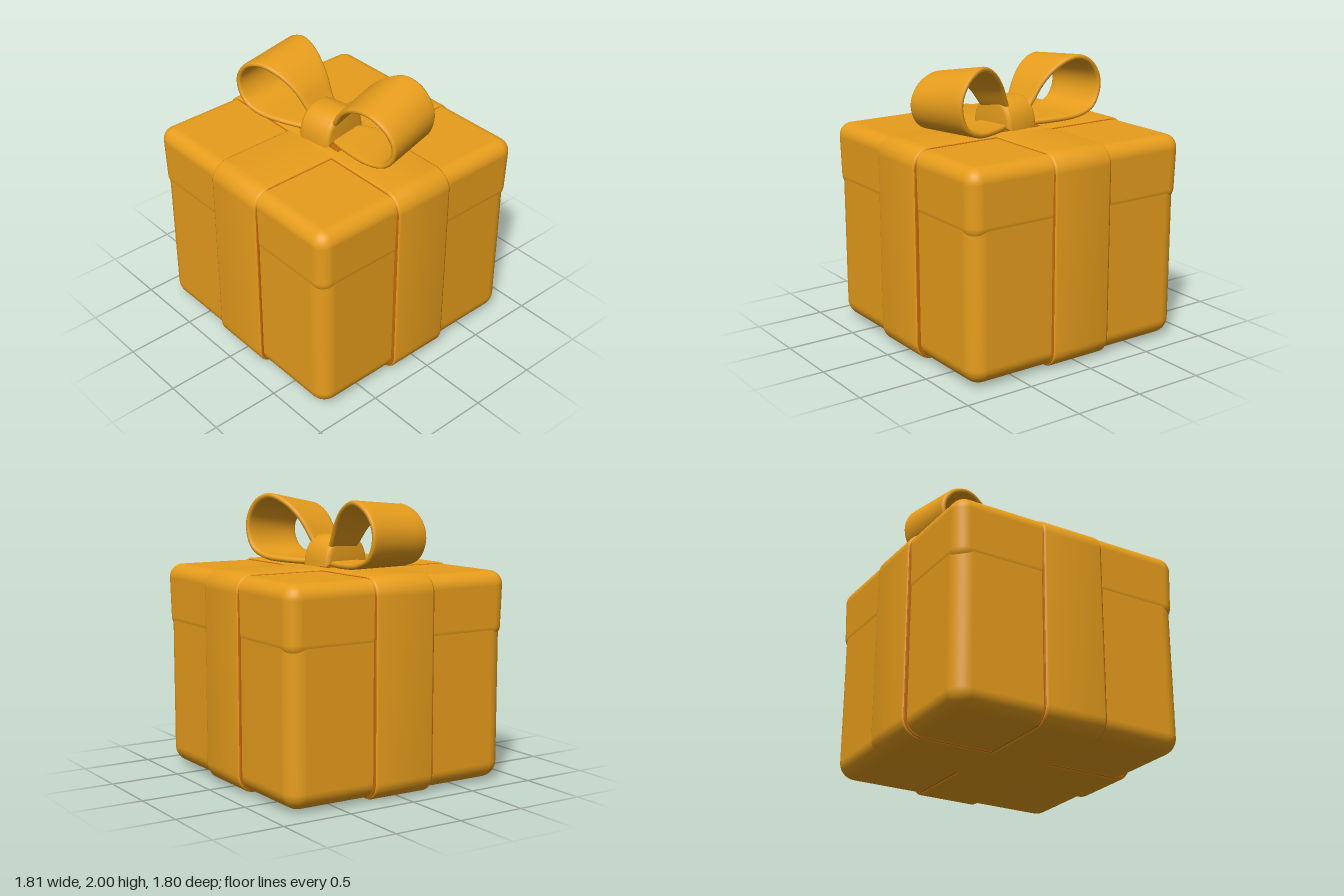
import * as THREE from 'three';
import { toCreasedNormals } from 'three/addons/utils/BufferGeometryUtils.js';
import { RoundedBoxGeometry } from 'three/addons/geometries/RoundedBoxGeometry.js';

function colour(name, hex) {
  const material = new THREE.MeshStandardMaterial({ color: hex });
  material.name = name;
  return material;
}
const amber = colour('amber', 0xe89e1c);
const deepOrange = colour('deepOrange', 0xc4690e);

function part(name, geometry, material, parent) {
  const mesh = new THREE.Mesh(geometry, material);
  mesh.name = name;
  parent.add(mesh);
  return mesh;
}

// Rounded rectangle outline centred on the origin
function roundedRect(Path, hw, hh, r) {
  const p = new Path();
  p.moveTo(hw, -hh + r);
  p.lineTo(hw, hh - r);
  p.absarc(hw - r, hh - r, r, 0, Math.PI / 2);
  p.lineTo(-hw + r, hh);
  p.absarc(-hw + r, hh - r, r, Math.PI / 2, Math.PI);
  p.lineTo(-hw, -hh + r);
  p.absarc(-hw + r, -hh + r, r, Math.PI, Math.PI * 1.5);
  p.lineTo(hw - r, -hh);
  p.absarc(hw - r, -hh + r, r, Math.PI * 1.5, Math.PI * 2);
  return p;
}

// Extrusion centred on z = 0 with softly rounded rims; total width is given
function softExtrude(shape, width, bevel) {
  const geo = new THREE.ExtrudeGeometry(shape, {
    depth: width - 2 * bevel, curveSegments: 10, bevelEnabled: true,
    bevelSize: bevel, bevelThickness: bevel, bevelOffset: -bevel, bevelSegments: 3,
  });
  geo.translate(0, 0, bevel - width / 2);
  return toCreasedNormals(geo, 0.7);
}

// Band that wraps all the way round the box
function bandGeometry(halfWidth, halfHeight, width, bevel) {
  const shape = roundedRect(THREE.Shape, halfWidth, halfHeight, 0.13);
  shape.holes.push(roundedRect(THREE.Path, 0.84, 0.69, 0.1));
  return softExtrude(shape, width, bevel);
}

// Lid: a rounded box that narrows a little towards its rim
function lidGeometry() {
  const geo = new RoundedBoxGeometry(1.768, 0.485, 1.768, 6, 0.1);
  const p = geo.attributes.position;
  for (let i = 0; i < p.count; i++) {
    const s = 1 - 0.012 * THREE.MathUtils.clamp(0.5 - p.getY(i) / 0.485, 0, 1);
    p.setX(i, p.getX(i) * s);
    p.setZ(i, p.getZ(i) * s);
  }
  return geo;
}

// Bow loop: a ribbon section swept along a teardrop path, widening outward
function loopGeometry(side, lean) {
  const path = new THREE.CatmullRomCurve3([
    [-0.06, 1.57], [0.01, 1.66], [0.1, 1.8], [0.22, 1.9], [0.36, 1.942], [0.49, 1.895],
    [0.57, 1.79], [0.575, 1.69], [0.52, 1.59], [0.41, 1.542], [0.2, 1.523], [-0.06, 1.52],
  ].map(([u, y]) => new THREE.Vector3(u, y, 0)));
  const h = 0.019;
  const section = []; // [offset along normal, position across, inset at the edge]
  for (let k = 0; k <= 6; k++) section.push([h, -1 + k / 3, k === 0 ? h : k === 6 ? -h : 0]);
  section.push([h * 0.7, 1, -h * 0.3], [0, 1, 0], [-h * 0.7, 1, -h * 0.3]);
  for (let k = 6; k >= 0; k--) section.push([-h, -1 + k / 3, k === 0 ? h : k === 6 ? -h : 0]);
  section.push([-h * 0.7, -1, h * 0.3], [0, -1, 0], [h * 0.7, -1, h * 0.3]);
  const steps = 56, n = section.length, pos = [], index = [];
  for (let i = 0; i <= steps; i++) {
    const p = path.getPointAt(i / steps), t = path.getTangentAt(i / steps);
    const s = Math.sin(THREE.MathUtils.clamp(p.x / 0.5, 0, 1) * Math.PI / 2);
    const half = 0.125 + 0.115 * s;
    for (const [off, across, inset] of section) {
      const z = across * half + inset;
      const y = p.y + t.x * off;
      pos.push(side * (p.x - t.y * off), y - lean * z * (y - 1.5), z);
    }
  }
  for (let i = 0; i < steps; i++) for (let j = 0; j < n; j++) {
    const a = i * n + j, b = i * n + (j + 1) % n, c = a + n, d = b + n;
    if (side > 0) index.push(a, b, c, b, d, c);
    else index.push(a, c, b, b, c, d);
  }
  const geo = new THREE.BufferGeometry();
  geo.setAttribute('position', new THREE.Float32BufferAttribute(pos, 3));
  geo.setIndex(index);
  geo.computeVertexNormals();
  return geo;
}

// Knot: an arched strap over the middle of the bow
function knotGeometry() {
  const shape = new THREE.Shape();
  shape.moveTo(0.19, 0);
  shape.bezierCurveTo(0.19, 0.14, 0.12, 0.215, 0, 0.215);
  shape.bezierCurveTo(-0.12, 0.215, -0.19, 0.14, -0.19, 0);
  shape.closePath();
  return softExtrude(shape, 0.265, 0.03).rotateY(Math.PI / 2);
}

export function createModel() {
  const model = new THREE.Group();
  model.name = 'giftBox';

  // Box and its slightly wider lid
  part('box', new RoundedBoxGeometry(1.744, 1.4, 1.744, 6, 0.12), amber, model).position.y = 0.715;
  part('lid', lidGeometry(), amber, model).position.y = 1.2425;

  // Crossing ribbon bands, each over a darker lining that peeps out at its edges
  for (const [name, halfWidth, halfHeight, turn] of [
    ['sideBand', 0.903, 0.75, 0], ['frontBand', 0.898, 0.748, Math.PI / 2],
  ]) {
    const band = new THREE.Group();
    band.name = name;
    band.position.y = 0.75;
    band.rotation.y = turn;
    model.add(band);
    part('ribbon', bandGeometry(halfWidth, halfHeight, 0.465, 0.018), amber, band);
    part('lining', bandGeometry(halfWidth - 0.009, halfHeight - 0.009, 0.474, 0.004), deepOrange, band);
  }

  // Bow
  const bow = new THREE.Group();
  bow.name = 'bow';
  model.add(bow);
  const left = part('leftLoop', loopGeometry(1, 0.4), amber, bow);
  left.position.set(0.08, 0, 0);
  left.rotation.y = 0.215;
  const right = part('rightLoop', loopGeometry(-1, 0.18), amber, bow);
  right.position.set(-0.13, 0, 0.01);
  right.rotation.y = 0.125;
  const knot = part('knot', knotGeometry(), amber, bow);
  knot.position.set(-0.015, 1.5, 0.02);
  knot.rotation.y = 0.14;
  part('bowLining', new THREE.BoxGeometry(0.4, 0.008, 0.32), deepOrange, bow).position.set(0.01, 1.501, 0);

  return model;
}
